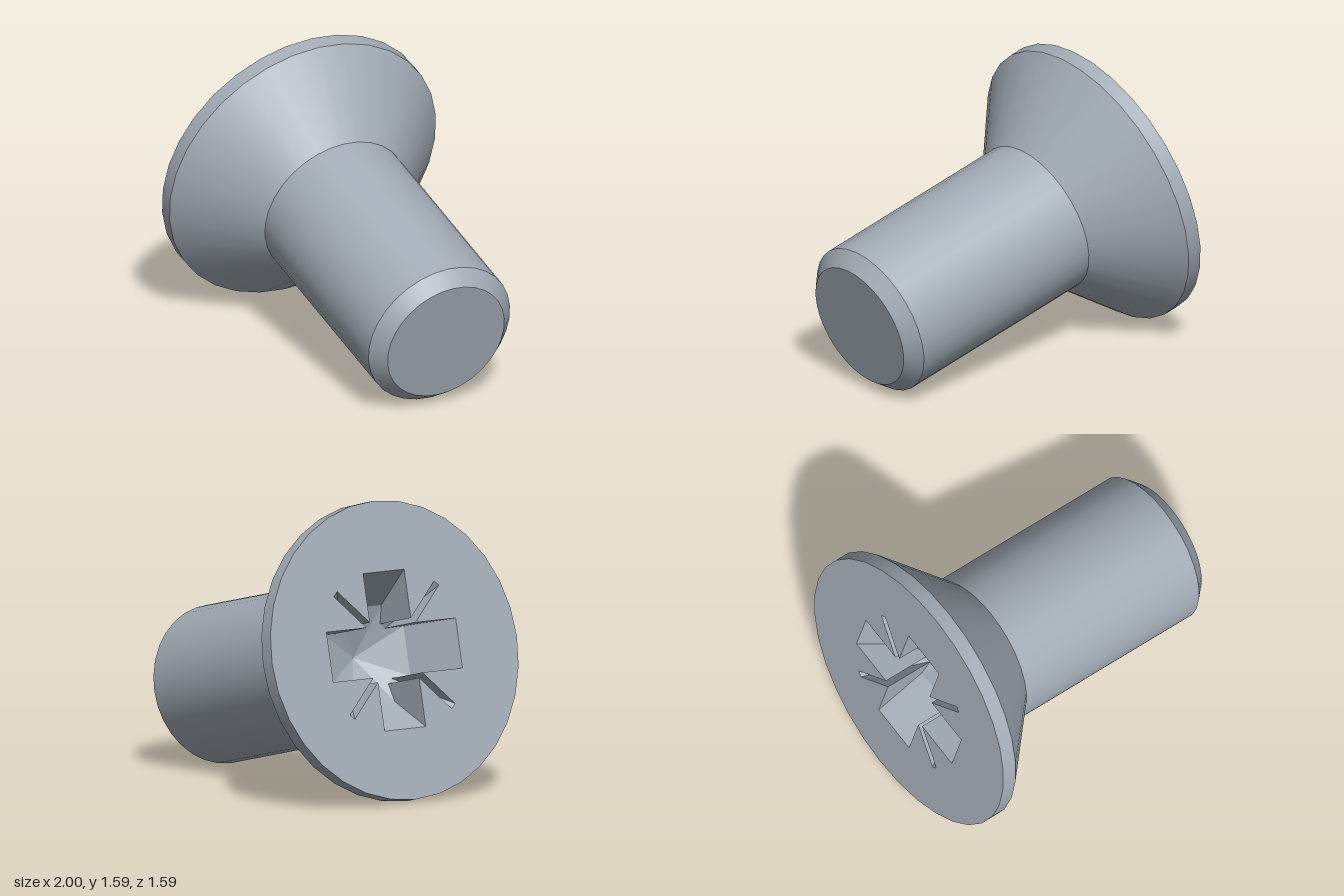
import * as THREE from 'three';

const SIDES = 32;
const HEAD_R = 0.806, SHAFT_R = 0.428, TIP_R = 0.353;
const RIM = 0.085, NECK = 0.463, CHAMFER = 1.648, LENGTH = 1.726; // distances behind the head face

// Drive recess: each outline point has a matching point on the recess floor
function recessRing() {
  const w = 0.135, reach = 0.425, inner = 0.26, slit = 0.013;
  const notch = w + slit * 2, e = 0.47 / Math.SQRT2;
  const armDepth = -0.255, notchDepth = -0.29;
  // [top x, top y, floor x, floor y, floor z] for one quarter, anticlockwise
  const quarter = [
    [reach, -w, inner, -w, armDepth],
    [reach, w, inner, w, armDepth],
    [notch, w, notch, w, notchDepth],
    [e + slit, e - slit, notch, w, notchDepth],
    [e - slit, e + slit, w, notch, notchDepth],
    [w, notch, w, notch, notchDepth],
  ];
  const ring = [], axis = new THREE.Vector3(0, 0, 1);
  for (let k = 0; k < 4; k++) {
    for (const [x, y, bx, by, bz] of quarter) {
      ring.push({
        top: new THREE.Vector3(x, y, 0).applyAxisAngle(axis, k * Math.PI / 2),
        floor: new THREE.Vector3(bx, by, bz).applyAxisAngle(axis, k * Math.PI / 2),
      });
    }
  }
  return ring;
}

// Flat-faced walls, sloping arm floors and the shallow pit in the middle
function recessGeometry(ring) {
  const points = [], apex = new THREE.Vector3(0, 0, -0.39);
  const tri = (a, b, c) => {
    if (new THREE.Triangle(a, b, c).getArea() > 1e-7) points.push(a, b, c);
  };
  ring.forEach((p, i) => {
    const q = ring[(i + 1) % ring.length];
    tri(p.top, q.top, q.floor);
    tri(p.top, q.floor, p.floor);
    tri(apex, p.floor, q.floor);
  });
  const geo = new THREE.BufferGeometry().setFromPoints(points);
  geo.computeVertexNormals();
  return geo;
}

export function createModel() {
  const model = new THREE.Group();
  model.name = 'countersunkScrew';
  const steel = new THREE.MeshStandardMaterial({ color: 0xa3acb6 });
  steel.name = 'steel';

  const add = (name, geo) => {
    const mesh = new THREE.Mesh(geo, steel);
    mesh.name = name;
    model.add(mesh);
    return mesh;
  };
  // Open band of the turned body between two distances behind the head face
  const band = (name, r0, r1, d0, d1) => {
    const geo = new THREE.CylinderGeometry(r0, r1, d1 - d0, SIDES, 1, true);
    geo.rotateX(Math.PI / 2).translate(0, 0, -(d0 + d1) / 2);
    add(name, geo);
  };

  // Turned body
  band('headRim', HEAD_R, HEAD_R, 0, RIM);
  band('headCone', HEAD_R, SHAFT_R, RIM, NECK);
  band('shaft', SHAFT_R, SHAFT_R, NECK, CHAMFER);
  band('tipChamfer', SHAFT_R, TIP_R, CHAMFER, LENGTH);
  add('tipFace', new THREE.CircleGeometry(TIP_R, SIDES).rotateX(Math.PI).translate(0, 0, -LENGTH));

  // Head face with the drive cut out of it
  const ring = recessRing();
  const outline = [];
  for (let i = 0; i < SIDES; i++) {
    const a = i * 2 * Math.PI / SIDES;
    outline.push(new THREE.Vector2(HEAD_R * Math.cos(a), HEAD_R * Math.sin(a)));
  }
  const face = new THREE.Shape(outline);
  face.holes.push(new THREE.Path(ring.map(p => new THREE.Vector2(p.top.x, p.top.y))));
  add('headFace', new THREE.ShapeGeometry(face));
  add('driveRecess', recessGeometry(ring));

  // Tilt: local +z is the outward normal of the head face
  const n = new THREE.Vector3(-0.95, 0.234, -0.205).normalize();
  const u = new THREE.Vector3(0, 1, 0).cross(n).normalize();
  const v = n.clone().cross(u);
  model.quaternion.setFromRotationMatrix(new THREE.Matrix4().makeBasis(u, v, n));
  model.position.set(-0.75, 0.806, -0.01);

  const root = new THREE.Group();
  root.name = 'screw';
  root.add(model);
  return root;
}
